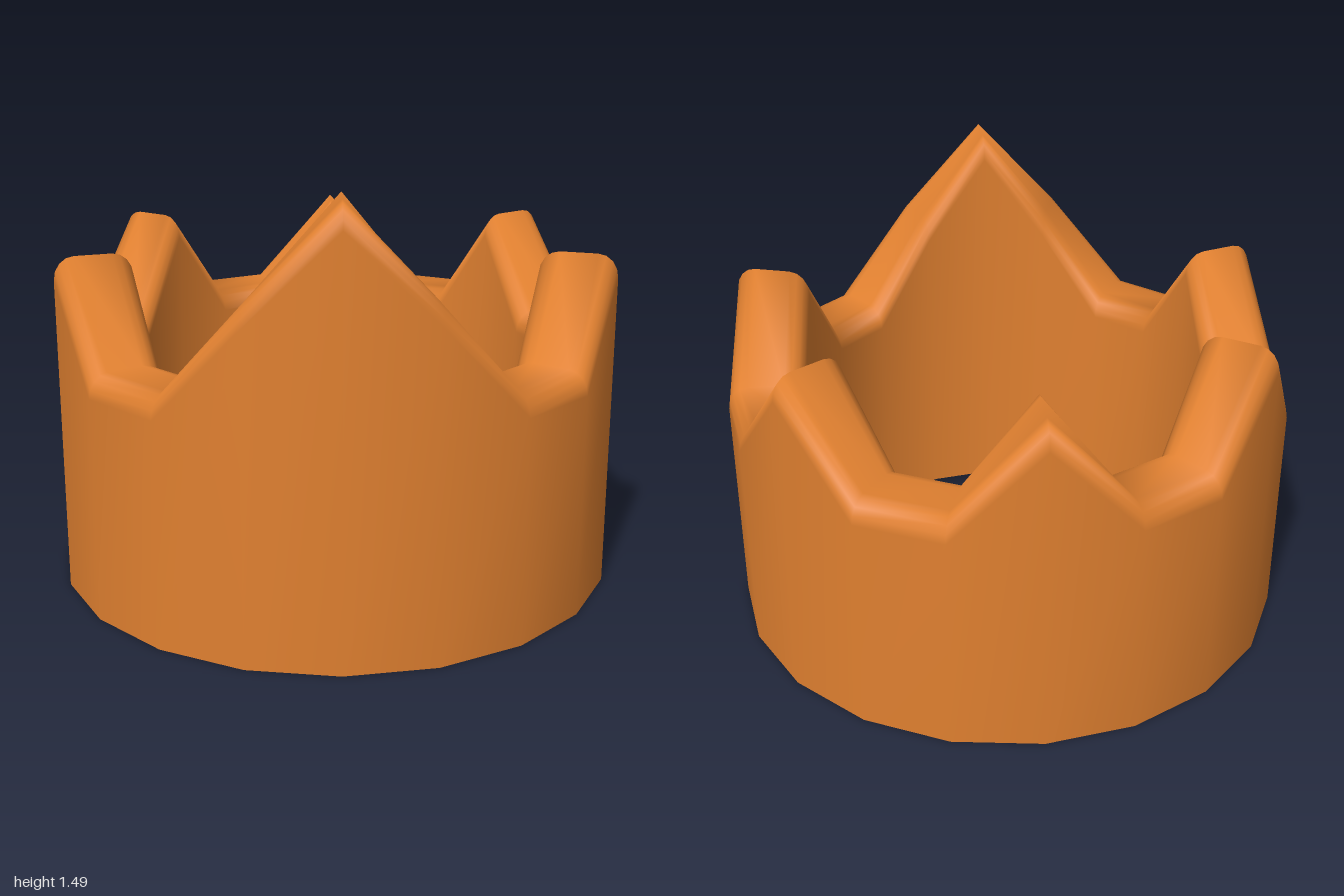
import * as THREE from 'three';

const SIDES = 20, OUTER = 1, INNER = 0.73;
// Rim height at each corner, from the front peak round to the back peak
const HALF = [1.49, 1.18, 0.86, 0.86, 1.19, 0.86, 0.86, 1.19, 0.86, 0.86, 1.19];

// Cross-section of the wall: up the outside, over the rounded rim, down the inside
function wallProfile(h) {
  const bevelX = 0.07, bevelY = 0.08, steps = 4;
  const arc = (from, cx) => Array.from({ length: steps + 1 }, (_, i) => {
    const t = from + (i / steps) * Math.PI / 2;
    return [cx + bevelX * Math.cos(t), h - bevelY + bevelY * Math.sin(t)];
  });
  return [
    [OUTER, 0],
    ...arc(0, OUTER - bevelX),
    ...arc(Math.PI / 2, INNER + bevelX),
    [INNER, 0],
  ];
}

function wallGeometry() {
  const positions = [], index = [];
  let n = 0;
  for (let k = 0; k < SIDES; k++) {
    const a = (k / SIDES) * Math.PI * 2;
    const profile = wallProfile(HALF[Math.min(k, SIDES - k)]);
    n = profile.length;
    for (const [r, y] of profile) positions.push(r * Math.sin(a), y, r * Math.cos(a));
  }
  for (let k = 0; k < SIDES; k++) {
    const p = k * n, q = ((k + 1) % SIDES) * n;
    for (let j = 0; j < n - 1; j++) {
      index.push(p + j, q + j, q + j + 1, p + j, q + j + 1, p + j + 1);
    }
  }
  const g = new THREE.BufferGeometry();
  g.setAttribute('position', new THREE.Float32BufferAttribute(positions, 3));
  g.setIndex(index);
  g.computeVertexNormals();
  return g;
}

export function createModel() {
  const group = new THREE.Group();
  group.name = 'crown';
  const orange = new THREE.MeshStandardMaterial({ color: 0xe08030 });
  orange.name = 'orange gold';

  // Wall with the peaked, rounded rim
  const wall = new THREE.Mesh(wallGeometry(), orange);
  wall.name = 'crownWall';
  group.add(wall);

  // Flat underside, kept separate for a sharp lower edge
  const base = new THREE.Mesh(new THREE.RingGeometry(INNER, OUTER, SIDES), orange);
  base.rotation.x = Math.PI / 2;
  base.name = 'baseRing';
  group.add(base);

  return group;
}
